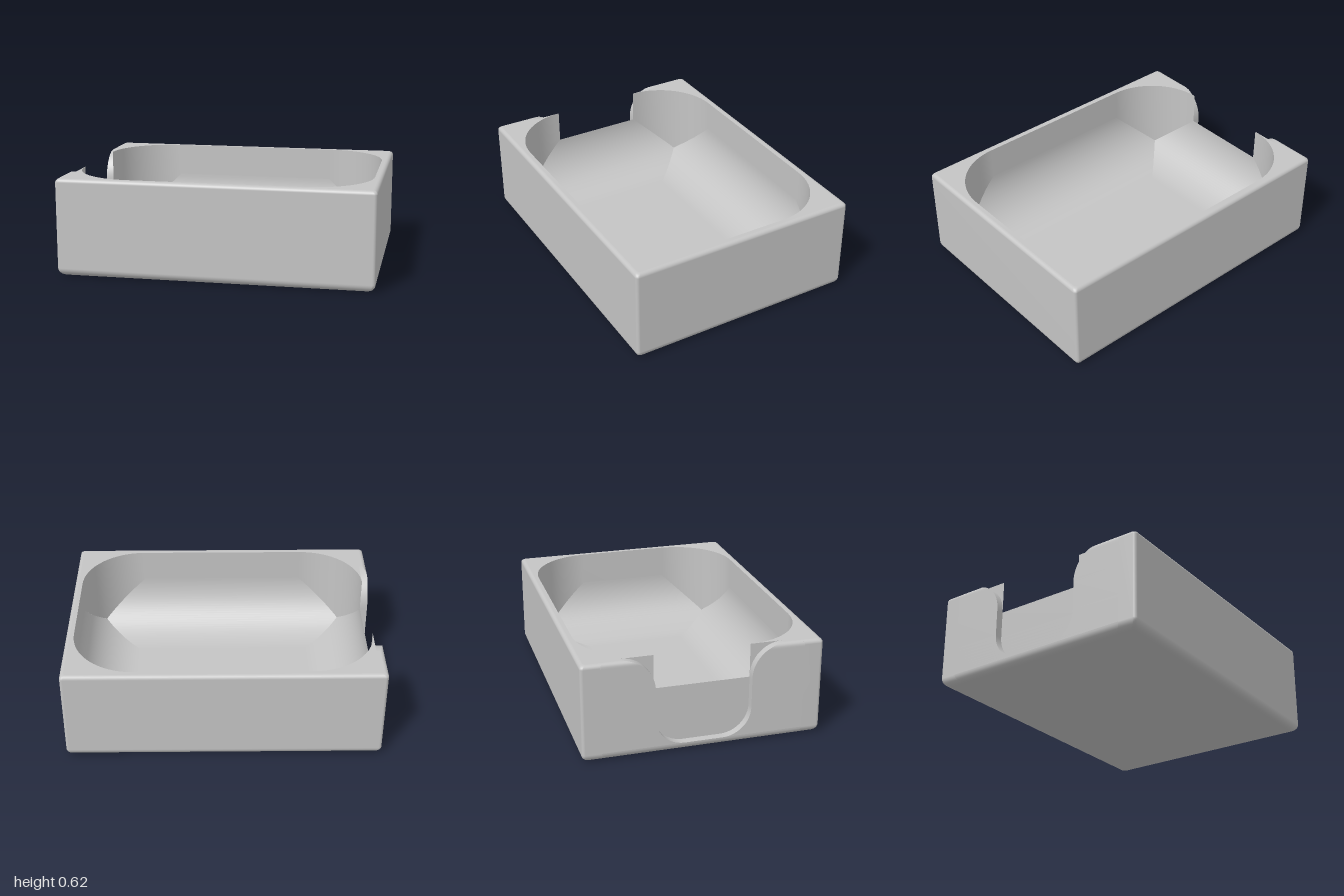
import * as THREE from 'three';

const HX = 1, HZ = 0.75, TOP = 0.625;          // outer half sizes and height
const CX = 0.95, CZ = 0.70, CR = 0.40;         // cavity half sizes and corner radius
const FLOOR = 0.05, R = 0.36;                  // cavity floor height and floor fillet
const EDGE = 0.02, RT = 0.025, RB = 0.05;      // outer upright, top and bottom fillets
const RUN = 0.12;                              // part of the notched side built with the shell
const Q = Math.PI / 2;

// Smooth surface over u (columns) and v (rows); normal is du x dv
function grid(nu, nv, f) {
  const pos = [], idx = [];
  for (let i = 0; i <= nu; i++) for (let j = 0; j <= nv; j++) pos.push(...f(i, j));
  for (let i = 0; i < nu; i++) for (let j = 0; j < nv; j++) {
    const a = i * (nv + 1) + j, b = a + nv + 1;
    idx.push(a, b, a + 1, b, b + 1, a + 1);
  }
  const g = new THREE.BufferGeometry();
  g.setAttribute('position', new THREE.Float32BufferAttribute(pos, 3));
  g.setIndex(idx);
  g.computeVertexNormals();
  return g;
}

// Rounded rectangle as [x, z] points, from the notched side round the front and back again
function roundedPath(hx, hz, r, seg) {
  const pts = [];
  [[-1, 1], [1, 1], [1, -1], [-1, -1]].forEach(([sx, sz], k) => {
    for (let j = 0; j <= seg; j++) {
      const t = Math.PI - (k + j / seg) * Q;
      pts.push([sx * (hx - r) + r * Math.cos(t), sz * (hz - r) + r * Math.sin(t)]);
    }
  });
  return pts;
}

// Inset of the outer skin near the top edge
const topInset = y => {
  const d = Math.max(0, y - (TOP - RT));
  return RT - Math.sqrt(Math.max(0, RT * RT - d * d));
};

// Height of the cavity surface at distance d from its wall
const cavityHeight = d => FLOOR + R - Math.sqrt(Math.max(0, R * R - (R - Math.min(d, R)) ** 2));

export function createModel() {
  const model = new THREE.Group();
  const grey = new THREE.MeshStandardMaterial({ color: 0xc4c4c4, side: THREE.DoubleSide });
  grey.name = 'grey';
  const add = (name, geometry) => {
    const mesh = new THREE.Mesh(geometry, grey);
    mesh.name = name;
    model.add(mesh);
    return mesh;
  };

  // Outer profile as [inset, y], bottom to top
  const lower = [[0.15, 0]];
  for (let k = 0; k <= 8; k++) {
    const a = k / 8 * Q;
    lower.push([RB * (1 - Math.sin(a)), RB * (1 - Math.cos(a))]);
  }
  const profile = [...lower];
  for (let k = 0; k <= 6; k++) {
    const a = k / 6 * Q;
    profile.push([RT * (1 - Math.cos(a)), TOP - RT + RT * Math.sin(a)]);
  }

  // Outer shell: front, one end and back
  const rings = profile.map(([e, y]) => {
    const x = -(HX - e), z = HZ - e - RUN;
    return [[x, z], ...roundedPath(HX - e, HZ - e, EDGE, 4), [x, -z]].map(p => [p[0], y, p[1]]);
  });
  add('outerShell', grid(rings[0].length - 1, rings.length - 1, (i, j) => rings[j][i]));

  // Underside
  const base = new THREE.PlaneGeometry(2 * (HX - 0.15), 2 * (HZ - 0.15));
  base.rotateX(Q);
  add('underside', base);

  // Bottom fillet of the notched side
  add('notchSideFoot', grid(1, lower.length - 1, (i, j) => {
    const [e, y] = lower[j];
    return [-(HX - e), y, (i * 2 - 1) * (HZ - e - RUN)];
  }));

  // Notch outline as [half width, y]: rounded bottom, straight sides, flared top
  const notch = [];
  for (let k = 0; k <= 12; k++) {
    const a = k / 12 * Q;
    notch.push([0.12 + 0.18 * Math.sin(a), 0.23 - 0.18 * Math.cos(a)]);
  }
  notch.push([0.3, FLOOR + R]);
  const flareStart = notch.length - 1;
  for (let k = 0; k <= 14; k++) {
    const a = k / 14 * Q;
    notch.push([0.5 - 0.2 * Math.cos(a), 0.42 + 0.205 * Math.sin(a)]);
  }

  // Side panels beside the notch, and the slivers behind its flared top
  for (const s of [-1, 1]) {
    const side = s > 0 ? 'Front' : 'Back';
    const across = (i, inner, outer) => s * ((s > 0 ? i : 1 - i) ? outer : inner);
    add('notchPanel' + side, grid(1, notch.length - 1, (i, j) => {
      const [w, y] = notch[j], e = topInset(y);
      return [-(HX - e), y, across(i, w, HZ - e - RUN)];
    }));
    const flare = notch.slice(flareStart);
    add('notchHorn' + side, grid(1, flare.length - 1, (i, j) =>
      [-CX, flare[j][1], across(i, 0.3, flare[j][0])]));
  }

  // Recessed face of the notch, below the opening
  add('notchFace', grid(1, flareStart, (i, j) => [-CX, notch[j][1], (i * 2 - 1) * notch[j][0]]));

  // Thin wall round the notch
  const rim = [...notch].reverse().concat(notch.map(([w, y]) => [-w, y]));
  add('notchRim', grid(rim.length - 1, 1, (i, j) => {
    const [z, y] = rim[i];
    return [j ? -(HX - topInset(y)) : -CX, y, z];
  }));

  // Top face, a C shape open at the notch
  const opening = roundedPath(CX, CZ, CR, 16).reverse();
  const contour = [
    [-(HX - RT), 0.5], ...roundedPath(HX - RT, HZ - RT, EDGE, 4), [-(HX - RT), -0.5],
    [-CX, -0.5], ...opening, [-CX, 0.5],
  ];
  const top = new THREE.ShapeGeometry(new THREE.Shape(contour.map(([x, z]) => new THREE.Vector2(x, -z))));
  top.rotateX(-Q);
  add('topRim', top).position.y = TOP;

  // Upright cavity wall, left out across the notch
  add('cavityWall', grid(opening.length - 1, 1, (i, j) => {
    const [x, z] = opening[i];
    const d = Math.max(0, Math.min(CX - Math.abs(x), CZ - Math.abs(z)));
    return [x, j ? TOP : cavityHeight(d), z];
  }));

  // Four curved slopes meeting in mitred corners
  const slope = (half, s, alongX) => grid(32, 1, (i, j) => {
    const a = i / 32 * Q, d = R * (1 - Math.cos(a)), y = FLOOR + R * (1 - Math.sin(a));
    const reach = Math.min(half - d, half - CR + Math.sqrt(CR * CR - (CR - d) ** 2));
    const t = s * (j * 2 - 1) * reach;
    return alongX ? [-t, y, s * (CZ - d)] : [s * (CX - d), y, t];
  });
  add('slopeFront', slope(CX, 1, true));
  add('slopeBack', slope(CX, -1, true));
  add('slopeClosedEnd', slope(CZ, 1, false));
  add('slopeNotchEnd', slope(CZ, -1, false));

  // Flat cavity floor
  const floor = new THREE.PlaneGeometry(2 * (CX - R), 2 * (CZ - R));
  floor.rotateX(-Q);
  add('cavityFloor', floor).position.y = FLOOR;

  return model;
}
